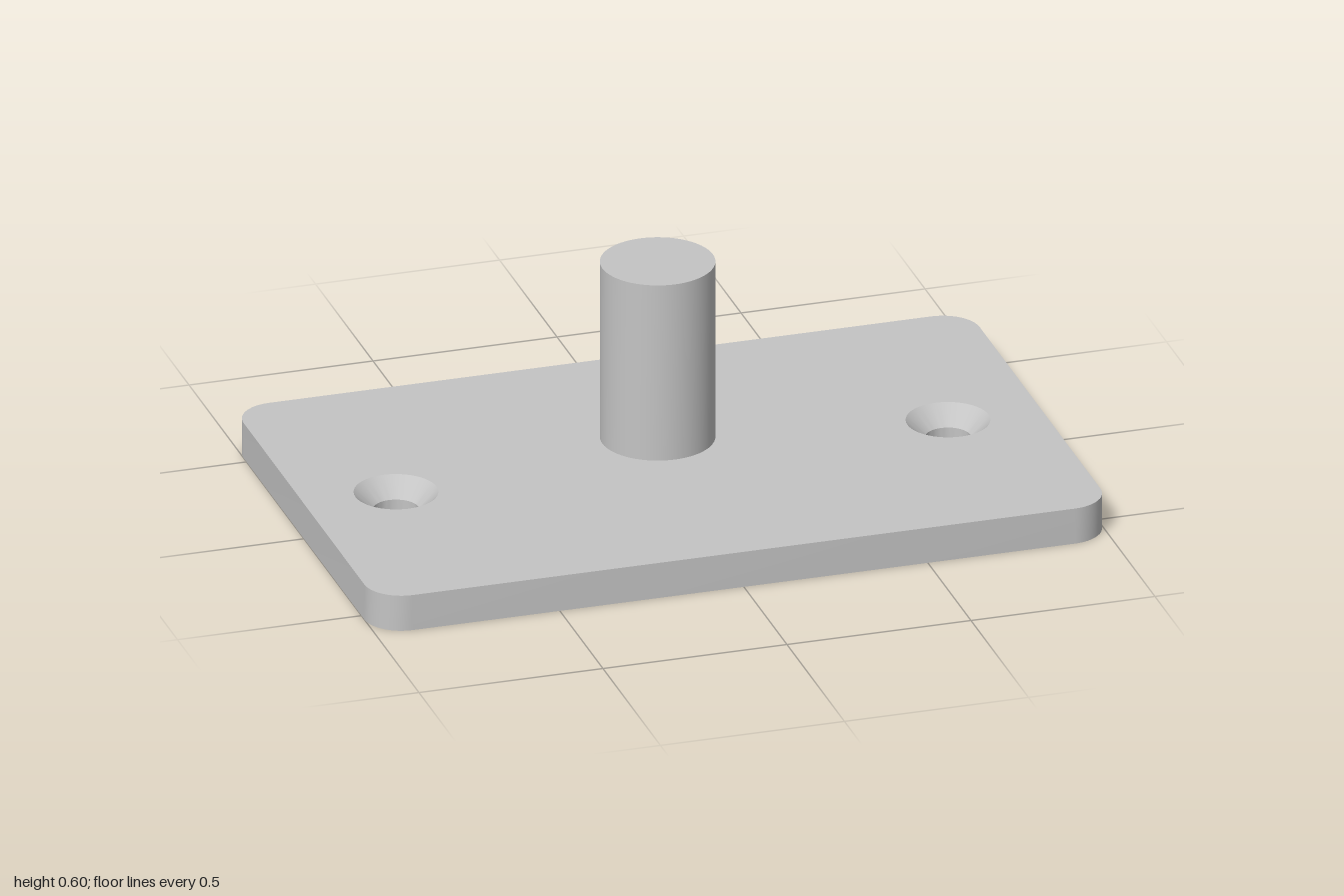
import * as THREE from 'three';
import { mergeGeometries, toCreasedNormals } from 'three/addons/utils/BufferGeometryUtils.js';

const H = 0.1;                       // plate thickness
const POST = { y: 0.125, r: 0.15, top: 0.6 };
const SCREW = { x: 0.75, bore: 0.06, rim: 0.11, depth: 0.05 };
const SOCKET = { r: 0.1155, depth: 0.4 };

// Regular outline, counter-clockwise; plan y points to -z
function ring(cx, cy, r, n) {
  return Array.from({ length: n }, (_, i) => {
    const a = (i / n) * Math.PI * 2;
    return new THREE.Vector2(cx + r * Math.cos(a), cy + r * Math.sin(a));
  });
}

function roundedRect(hw, hd, r, n) {
  const pts = [];
  [[1, 1], [-1, 1], [-1, -1], [1, -1]].forEach(([sx, sy], q) => {
    for (let i = 0; i <= n; i++) {
      const a = (q + i / n) * Math.PI / 2;
      pts.push(new THREE.Vector2(sx * (hw - r) + r * Math.cos(a), sy * (hd - r) + r * Math.sin(a)));
    }
  });
  return pts;
}

// Wall between two matching outlines; inward walls face the hole's axis
function wall(low, y0, high, y1, inward = false) {
  const pos = [];
  const n = low.length;
  for (let i = 0; i < n; i++) {
    const j = (i + 1) % n;
    const a = [low[i].x, y0, -low[i].y], b = [low[j].x, y0, -low[j].y];
    const c = [high[j].x, y1, -high[j].y], d = [high[i].x, y1, -high[i].y];
    const tris = inward ? [a, c, b, a, d, c] : [a, b, c, a, c, d];
    pos.push(...tris.flat());
  }
  const g = new THREE.BufferGeometry();
  g.setAttribute('position', new THREE.Float32BufferAttribute(pos, 3));
  return toCreasedNormals(g, 0.5);
}

// Flat face with holes, facing up or down
function face(outline, holes, y, down = false) {
  const shape = new THREE.Shape(outline.map(p => new THREE.Vector2(p.x, down ? -p.y : p.y)));
  shape.holes = holes.map(h => new THREE.Path(h.map(p => new THREE.Vector2(p.x, down ? -p.y : p.y))));
  const g = new THREE.ShapeGeometry(shape).toNonIndexed();
  g.deleteAttribute('uv');
  return g.rotateX(down ? Math.PI / 2 : -Math.PI / 2).translate(0, y, 0);
}

export function createModel() {
  const group = new THREE.Group();
  const metal = new THREE.MeshStandardMaterial({ color: 0xc4c4c4 });
  metal.name = 'grey metal';

  const add = (name, parts) => {
    const mesh = new THREE.Mesh(mergeGeometries(parts), metal);
    mesh.name = name;
    group.add(mesh);
  };

  const outline = roundedRect(1, 0.625, 0.1, 12);
  const postRing = ring(0, POST.y, POST.r, 64);
  const hexagon = ring(0, POST.y, SOCKET.r, 6);
  const xs = [-SCREW.x, SCREW.x];
  const bores = xs.map(x => ring(x, 0, SCREW.bore, 48));
  const rims = xs.map(x => ring(x, 0, SCREW.rim, 48));

  // Rounded base plate
  add('basePlate', [
    wall(outline, 0, outline, H),
    face(outline, [...rims, postRing], H),
    face(outline, [...bores, hexagon], 0, true),
  ]);

  // Countersunk screw holes
  xs.forEach((x, i) => {
    const seat = H - SCREW.depth;
    add(x > 0 ? 'leftScrewHole' : 'rightScrewHole', [
      wall(bores[i], 0, bores[i], seat, true),
      wall(bores[i], seat, rims[i], H, true),
    ]);
  });

  // Upright post
  add('post', [wall(postRing, H, postRing, POST.top), face(postRing, [], POST.top)]);

  // Hexagonal socket running up into the post from below
  add('hexSocket', [
    wall(hexagon, 0, hexagon, SOCKET.depth, true),
    face(hexagon, [], SOCKET.depth, true),
  ]);

  return group;
}
